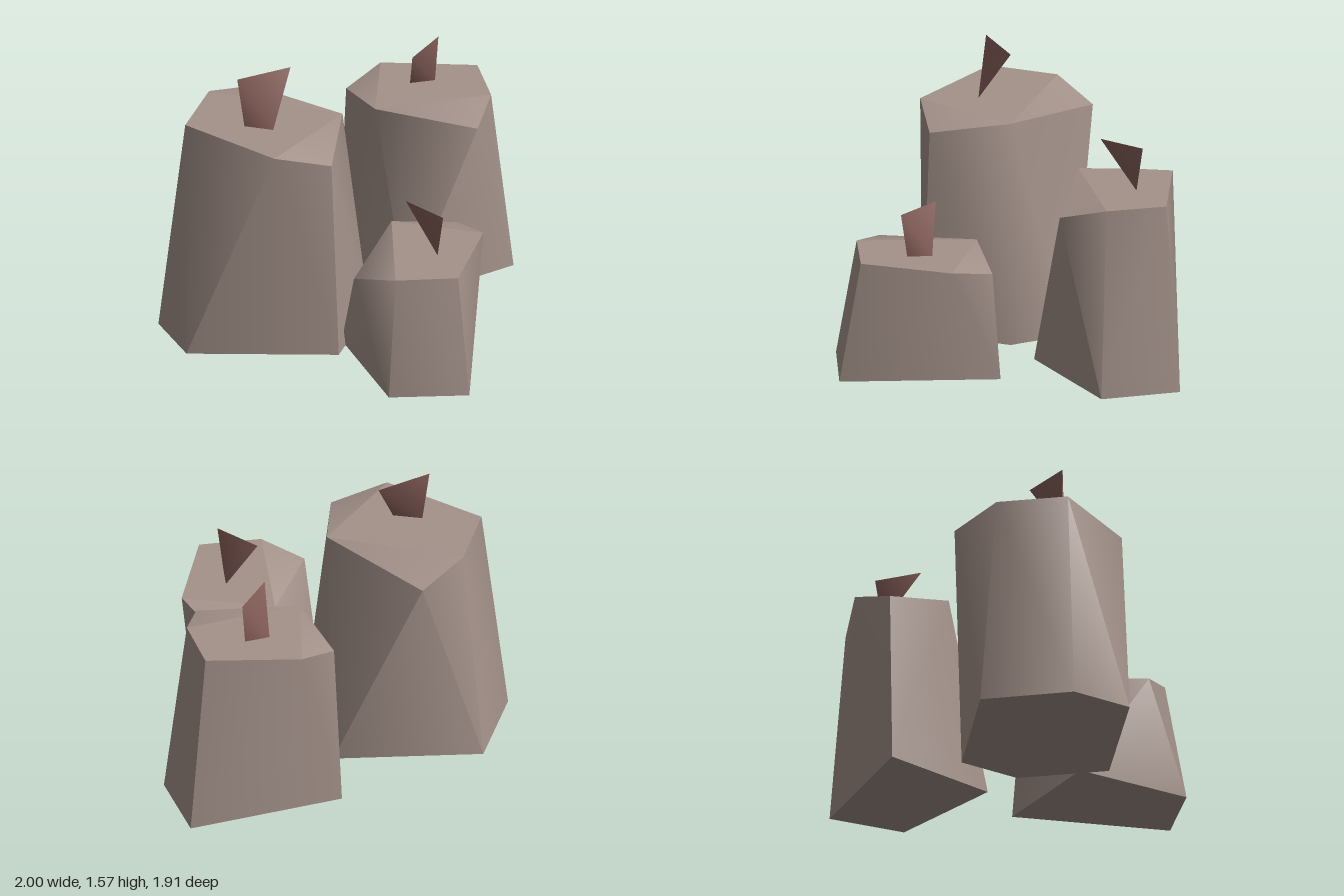
import * as THREE from 'three';
import { ConvexGeometry } from 'three/addons/geometries/ConvexGeometry.js';
import { toCreasedNormals } from 'three/addons/utils/BufferGeometryUtils.js';

const wax = new THREE.MeshStandardMaterial({ name: 'wax', color: 0xa4928a });
const wickBrown = new THREE.MeshStandardMaterial({ name: 'wickBrown', color: 0x88605a });

// Corner rings are [x, z] pairs at one height
const ring = (y, pairs) => pairs.map(([x, z]) => new THREE.Vector3(x, y, z));

// Hull split into flat end caps and smoothly shaded sides
function addWax(group, points) {
  const pos = new ConvexGeometry(points).getAttribute('position');
  const caps = [], sides = [];
  const tri = new THREE.Triangle(), n = new THREE.Vector3();
  for (let i = 0; i < pos.count; i += 3) {
    tri.setFromAttributeAndIndices(pos, i, i + 1, i + 2);
    tri.getNormal(n);
    const list = Math.abs(n.y) > 0.995 ? caps : sides;
    for (const p of [tri.a, tri.b, tri.c]) list.push(p.clone());
  }
  for (const [name, list, crease] of [['waxEnds', caps, 0.1], ['waxSides', sides, 1.05]]) {
    const geo = toCreasedNormals(new THREE.BufferGeometry().setFromPoints(list), crease);
    const mesh = new THREE.Mesh(geo, wax);
    mesh.name = name;
    group.add(mesh);
  }
}

// Wick: a twisted wedge, one edge at the bottom and a crossing one on top
function addWick(group, y0, y1, bottom, top) {
  const geo = toCreasedNormals(new ConvexGeometry([...ring(y0, bottom), ...ring(y1, top)]), 1.05);
  const mesh = new THREE.Mesh(geo, wickBrown);
  mesh.name = 'wick';
  group.add(mesh);
}

const candles = [
  {
    name: 'tallCandle', height: 1.27, wickTop: 1.57,
    base: [[-0.81, -0.4], [0.03, -0.36], [0.18, -0.02], [0, 0.47], [-0.85, 0.44], [-1, 0.1]],
    top: [[-0.71, -0.29], [0.03, -0.02], [-0.36, 0.48], [-0.85, 0.09]],
    shoulder: 1.19, low: [[-0.46, -0.485], [-0.04, 0.43]],
    wickBase: [[-0.36, 0.155], [-0.52, 0.11]], wickEdge: [[-0.56, 0.11], [-0.26, -0.025]],
  },
  {
    name: 'smallCandle', height: 0.685, wickTop: 0.945,
    base: [[0.69, 0.04], [0.72, 0.94], [0.27, 0.955], [0.02, 0.31]],
    top: [[0.3, 0.17], [0.81, 0.31], [0.66, 0.82], [0.31, 0.84]],
    shoulder: 0.625, low: [[0.67, 0.085], [0.08, 0.71]],
    wickBase: [[0.55, 0.42], [0.55, 0.56]], wickEdge: [[0.375, 0.4], [0.58, 0.595]],
  },
  {
    name: 'mediumCandle', height: 1.08, wickTop: 1.34,
    base: [[0.995, -0.52], [0.89, -0.96], [0.02, -0.755], [0.39, -0.15]],
    top: [[0.26, -0.925], [0.8, -0.885], [0.87, -0.55], [0.22, -0.4]],
    shoulder: 1.01, low: [[0.79, -0.29], [0.065, -0.76]],
    wickBase: [[0.42, -0.69], [0.56, -0.72]], wickEdge: [[0.58, -0.755], [0.43, -0.52]],
  },
];

export function createModel() {
  const model = new THREE.Group();
  model.name = 'candles';
  for (const c of candles) {
    const candle = new THREE.Group();
    candle.name = c.name;
    addWax(candle, [...ring(0, c.base), ...ring(c.shoulder, c.low), ...ring(c.height, c.top)]);
    addWick(candle, c.height, c.wickTop, c.wickBase, c.wickEdge);
    model.add(candle);
  }
  return model;
}
